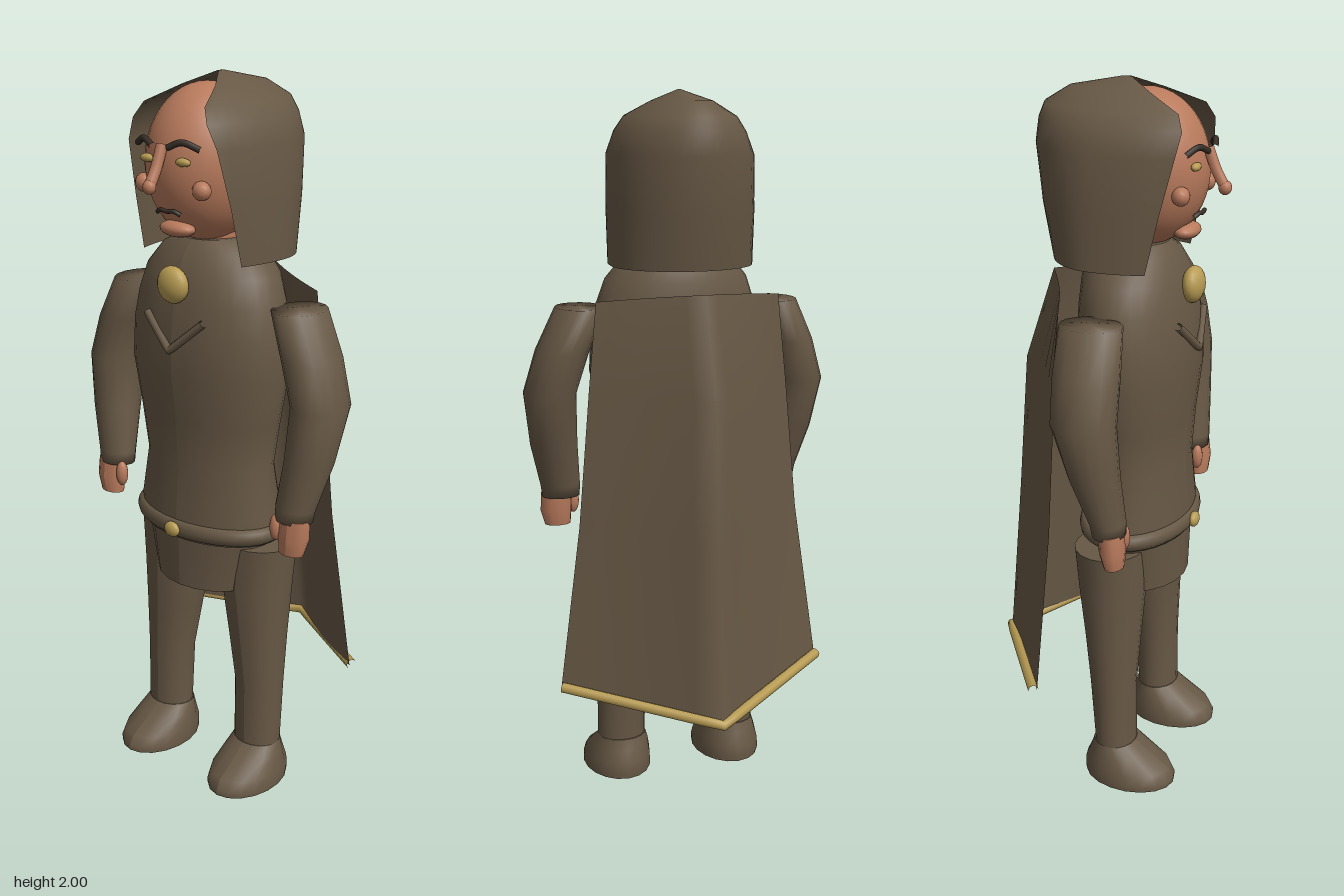
import * as THREE from 'three';
import { mergeVertices } from 'three/addons/utils/BufferGeometryUtils.js';

const mat = (name, color, side = THREE.FrontSide) => {
  const m = new THREE.MeshStandardMaterial({ color, side });
  m.name = name;
  return m;
};

export function createModel() {
  const root = new THREE.Group();
  root.name = 'cloakedFigure';
  const cloth = mat('brown cloth', 0x675845, THREE.DoubleSide);
  const skin = mat('skin', 0xb87a5c);
  const gold = mat('gold', 0xb89c54);
  const dark = mat('dark hair', 0x382f28);

  const add = (name, geo, material, x = 0, y = 0, z = 0) => {
    const m = new THREE.Mesh(geo, material);
    m.name = name;
    m.position.set(x, y, z);
    root.add(m);
    return m;
  };

  // Closed form through elliptical sections, top to bottom: [y, cx, rx, cz, rz]
  const loft = (name, rows, material, seg = 24, softCaps = false) => {
    const n = rows.length - 1;
    let geo = new THREE.CylinderGeometry(1, 1, 1, seg, n);
    const p = geo.attributes.position;
    for (let i = 0; i < p.count; i++) {
      const [y, cx, rx, cz, rz] = rows[Math.round((0.5 - p.getY(i)) * n)];
      p.setXYZ(i, cx + p.getX(i) * rx, y, cz + p.getZ(i) * rz);
    }
    if (softCaps) {
      geo.deleteAttribute('uv');
      geo.deleteAttribute('normal');
      geo = mergeVertices(geo);
    }
    geo.computeVertexNormals();
    return add(name, geo, material);
  };

  // Open sheet: point(row, u) with u from 0 to 1, from the left side round the back
  const sheet = (name, rows, seg, point) => {
    const n = rows.length - 1;
    const geo = new THREE.PlaneGeometry(1, 1, seg, n);
    const p = geo.attributes.position;
    for (let i = 0; i < p.count; i++) {
      const row = rows[Math.round((0.5 - p.getY(i)) * n)];
      p.setXYZ(i, ...point(row, p.getX(i) + 0.5));
    }
    geo.computeVertexNormals();
    return add(name, geo, cloth);
  };

  const ball = (name, material, x, y, z, rx, ry, rz, seg = 16) =>
    add(name, new THREE.SphereGeometry(1, seg, Math.ceil(seg * 0.7)), material, x, y, z).scale.set(rx, ry, rz);

  const rod = (name, pts, r, material, straight = false) => {
    const v = pts.map((q) => new THREE.Vector3(...q));
    let path = new THREE.CatmullRomCurve3(v);
    if (straight) {
      path = new THREE.CurvePath();
      for (let i = 1; i < v.length; i++) path.add(new THREE.LineCurve3(v[i - 1], v[i]));
    }
    return add(name, new THREE.TubeGeometry(path, 16, r, 8), material);
  };

  // Tunic and lower skirt
  loft('torso', [
    [1.58, 0, 0.09, 0.08, 0.09],
    [1.55, 0, 0.155, 0.08, 0.115],
    [1.49, 0, 0.205, 0.085, 0.14],
    [1.42, 0, 0.23, 0.09, 0.15],
    [1.34, 0, 0.245, 0.095, 0.157],
    [1.23, 0, 0.25, 0.1, 0.155],
    [1.09, 0, 0.225, 0.1, 0.14],
    [0.96, 0, 0.203, 0.1, 0.133],
    [0.82, 0, 0.228, 0.1, 0.145],
    [0.75, 0, 0.222, 0.1, 0.145],
  ], cloth, 32);
  loft('pelvis', [
    [0.76, 0, 0.205, 0.097, 0.14],
    [0.6, 0, 0.168, 0.097, 0.138],
  ], cloth, 20);

  // Belt with a round buckle
  const belt = add('belt', new THREE.TorusGeometry(1, 0.1, 10, 40), cloth, 0, 0.78, 0.1);
  belt.geometry.rotateX(Math.PI / 2);
  belt.scale.set(0.223, 0.25, 0.145);
  ball('buckle', gold, 0, 0.78, 0.262, 0.026, 0.022, 0.014);

  // Brooch and chest chevron
  ball('brooch', gold, 0, 1.47, 0.243, 0.05, 0.05, 0.03);
  rod('chestChevron', [[-0.1, 1.38, 0.238], [0, 1.295, 0.262], [0.1, 1.38, 0.238]], 0.011, cloth, true);

  // Limbs
  for (const [side, s] of [['left', 1], ['right', -1]]) {
    loft(side + 'Arm', [
      [1.42, s * 0.285, 0.068, 0.07, 0.085],
      [1.3, s * 0.335, 0.075, 0.078, 0.09],
      [1.18, s * 0.372, 0.074, 0.085, 0.088],
      [1.03, s * 0.358, 0.068, 0.11, 0.068],
      [0.9, s * 0.335, 0.058, 0.137, 0.048],
      [0.865, s * 0.333, 0.055, 0.14, 0.045],
    ], cloth, 16, true);
    loft(side + 'Hand', [
      [0.875, s * 0.345, 0.044, 0.15, 0.032],
      [0.82, s * 0.345, 0.046, 0.155, 0.034],
      [0.775, s * 0.34, 0.038, 0.158, 0.026],
    ], skin, 12);
    ball(side + 'Thumb', skin, s * 0.292, 0.84, 0.165, 0.018, 0.038, 0.018, 12);
    loft(side + 'Leg', [
      [0.735, s * 0.155, 0.11, 0.07, 0.1],
      [0.6, s * 0.151, 0.105, 0.075, 0.094],
      [0.45, s * 0.162, 0.088, 0.082, 0.079],
      [0.3, s * 0.173, 0.073, 0.088, 0.066],
      [0.1, s * 0.173, 0.071, 0.097, 0.059],
    ], cloth, 18);
    loft(side + 'Foot', [
      [0.115, s * 0.172, 0.072, 0.095, 0.062],
      [0.085, s * 0.173, 0.084, 0.112, 0.088],
      [0.045, s * 0.175, 0.096, 0.135, 0.128],
      [0.015, s * 0.176, 0.1, 0.143, 0.136],
      [0, s * 0.176, 0.099, 0.143, 0.135],
    ], cloth, 18);
  }

  // Head and neck
  ball('head', skin, 0, 1.773, 0.105, 0.157, 0.205, 0.17, 32);
  loft('neck', [[1.68, 0, 0.08, 0.07, 0.08], [1.52, 0, 0.08, 0.07, 0.08]], skin, 16);

  // Face
  rod('nose', [[0, 1.835, 0.274], [0, 1.78, 0.296], [0, 1.735, 0.322]], 0.015, skin);
  ball('noseTip', skin, 0, 1.735, 0.322, 0.018, 0.019, 0.018, 12);
  ball('lips', skin, 0, 1.615, 0.222, 0.056, 0.022, 0.034);
  for (const [side, s] of [['left', 1], ['right', -1]]) {
    ball(side + 'Eye', gold, s * 0.062, 1.795, 0.264, 0.024, 0.011, 0.012, 12);
    ball(side + 'Cheek', skin, s * 0.1, 1.725, 0.238, 0.026, 0.025, 0.024, 12);
    rod(side + 'Brow', [[s * 0.026, 1.83, 0.283], [s * 0.065, 1.845, 0.271], [s * 0.108, 1.828, 0.25]], 0.0085, dark);
    rod(side + 'Moustache', [[0, 1.664, 0.262], [s * 0.022, 1.667, 0.26], [s * 0.041, 1.658, 0.252]], 0.006, dark);
  }

  // Hood, open at the face: [y, rx, cz, front rz, back rz, opening half angle]
  sheet('hood', [
    [2.0, 0.002, 0.06, 0.002, 0.02, 0.7],
    [1.97, 0.075, 0.03, 0.14, 0.14, 0.72],
    [1.93, 0.14, 0.03, 0.27, 0.205, 0.74],
    [1.89, 0.168, 0.03, 0.3, 0.22, 0.76],
    [1.83, 0.192, 0.03, 0.31, 0.225, 0.83],
    [1.68, 0.198, 0.03, 0.29, 0.205, 0.93],
    [1.53, 0.198, 0.03, 0.26, 0.172, 1.0],
  ], 36, ([y, rx, cz, rf, rb, open], u) => {
    const a = open + u * 2 * (Math.PI - open);
    const c = Math.cos(a);
    const s = Math.sin(a);
    const full = c > 0 ? Math.sign(s) * Math.abs(s) ** 0.75 : s;
    return [rx * full, y, cz + c * (c > 0 ? rf : rb)];
  });

  // Cloak, creased along the spine: [centre y, edge y, half width, centre z, edge z]
  sheet('cloak', [
    [1.47, 1.445, 0.265, -0.165, -0.03],
    [1.2, 1.2, 0.29, -0.255, -0.035],
    [0.8, 0.82, 0.325, -0.285, -0.04],
    [0.3, 0.36, 0.39, -0.328, -0.055],
  ], 12, ([yc, ye, w, zc, ze], u) => {
    const t = Math.abs(u * 2 - 1);
    const sag = 0.01 * Math.sin(Math.PI * t);
    return [w * (1 - 2 * u), yc + (ye - yc) * t, zc + (ze - zc) * t + sag];
  });

  // Gold hem
  rod('cloakHem', [[-0.39, 0.358, -0.066], [0, 0.3, -0.33], [0.39, 0.358, -0.066]], 0.015, gold, true);
  return root;
}
